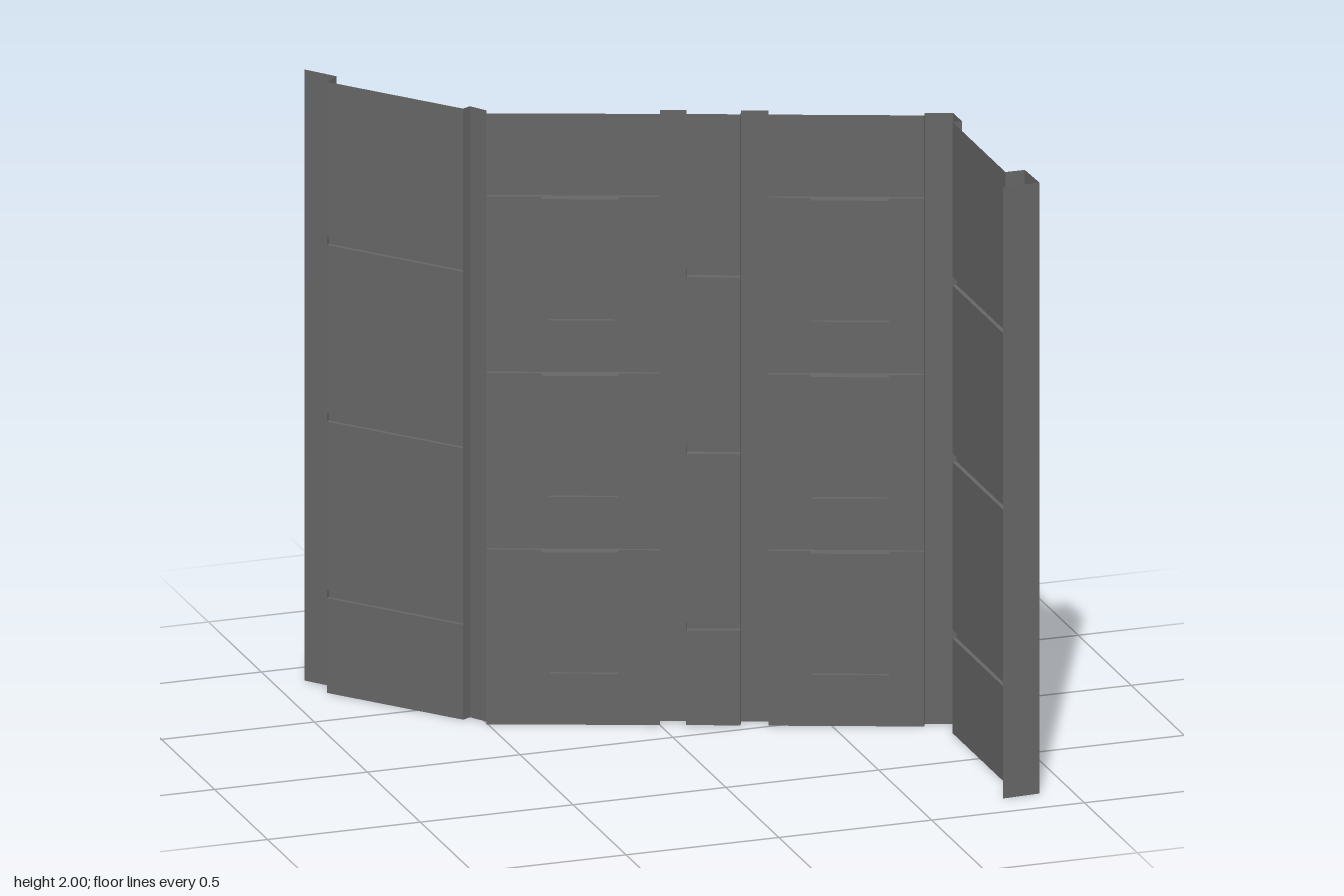
import * as THREE from 'three';

const H = 2, BAY = 0.578;
const grey = new THREE.MeshStandardMaterial({ color: 0x666666, side: THREE.DoubleSide });
grey.name = 'darkGrey';

function quadMesh(name, quads) {
  const pos = [];
  for (const [a, b, c, d] of quads) pos.push(...a, ...c, ...b, ...a, ...d, ...c);
  const geo = new THREE.BufferGeometry();
  geo.setAttribute('position', new THREE.Float32BufferAttribute(pos, 3));
  geo.computeVertexNormals();
  const mesh = new THREE.Mesh(geo, grey);
  mesh.name = name;
  return mesh;
}

// Upright folded sheet following plan points [x, z]
function foldedStrip(name, plan) {
  return quadMesh(name, plan.slice(1).map((q, i) => {
    const p = plan[i];
    return [[p[0], 0, p[1]], [q[0], 0, q[1]], [q[0], H, q[1]], [p[0], H, p[1]]];
  }));
}

// Wall sheet with stepped relief; cell(u, v) gives [part, depth towards the outside]
function reliefPanel(name, start, end, us, vs, cell) {
  const group = new THREE.Group();
  group.name = name;
  const len = Math.hypot(end[0] - start[0], end[1] - start[1]);
  const dx = (end[0] - start[0]) / len, dz = (end[1] - start[1]) / len;
  const at = (u, v, d) => [start[0] + dx * u + dz * d, v, start[1] + dz * u - dx * d];
  const U = [0, ...us, len], V = [0, ...vs, H], parts = {};
  const add = (part, ...quad) => (parts[part] ??= []).push(quad);
  const get = (i, j) => cell((U[i] + U[i + 1]) / 2, (V[j] + V[j + 1]) / 2);
  const owner = (a, b) => (a[0] === 'wall' ? b[0] : a[0]);
  for (let i = 0; i < U.length - 1; i++) {
    for (let j = 0; j < V.length - 1; j++) {
      const c = get(i, j), [u0, u1, v0, v1, d] = [U[i], U[i + 1], V[j], V[j + 1], c[1]];
      add(c[0], at(u0, v0, d), at(u1, v0, d), at(u1, v1, d), at(u0, v1, d));
      // Steps to the next cell sideways and upwards
      if (i < U.length - 2) {
        const r = get(i + 1, j), e = r[1];
        if (e !== d) add(owner(c, r), at(u1, v0, d), at(u1, v0, e), at(u1, v1, e), at(u1, v1, d));
      }
      if (j < V.length - 2) {
        const t = get(i, j + 1), e = t[1];
        if (e !== d) add(owner(c, t), at(u0, v1, d), at(u1, v1, d), at(u1, v1, e), at(u0, v1, e));
      }
    }
  }
  for (const part in parts) group.add(quadMesh(part, parts[part]));
  return group;
}

const bays = [0, 1, 2].map((k) => k * BAY);

// Plain wall with three raised ledges
function plainWall(name, start, end, depth) {
  const vs = bays.flatMap((y) => [0.31 + y, 0.338 + y]);
  return reliefPanel(name, start, end, [], vs, (u, v) =>
    bays.some((y) => v > 0.31 + y && v < 0.338 + y) ? ['ledge', depth] : ['wall', 0]);
}

// Wall with three recessed windows, each under a ledge and over a raised sill
function windowWall(name, start, end, w0, s0, w1) {
  const vs = bays.flatMap((y) => [0.167, 0.193, 0.572, 0.597].map((v) => v + y));
  return reliefPanel(name, start, end, [w0, s0, w1], vs, (u, v) => {
    for (const y of bays) {
      const h = v - y;
      if (h > 0.572 && h < 0.597) return ['ledge', 0.013];
      if (h > 0.193 && h < 0.572 && u > w0 && u < w1) return ['window', -0.024];
      if (h > 0.167 && h < 0.193 && u > s0 && u < w1) return ['sill', 0.013];
    }
    return ['wall', 0];
  });
}

export function createModel() {
  const model = new THREE.Group();
  model.name = 'facade';
  // Plan corners of the five walls
  const A0 = [-0.873, -0.747], A1 = [-0.558, -0.37];
  const B0 = [-0.504, -0.305], B1 = [0, -0.123];
  const C0 = [0.077, -0.096], C1 = [0.235, -0.038];
  const D0 = [0.315, -0.008], D1 = [0.768, 0.158];
  const E0 = [0.83, 0.247], E1 = [0.83, 0.745];
  model.add(
    plainWall('backWall', A0, A1, 0.013),
    windowWall('rightWindowWall', B0, B1, 0.17, 0.195, 0.408),
    plainWall('middleWall', C0, C1, 0.02),
    windowWall('leftWindowWall', D0, D1, 0.131, 0.137, 0.374),
    plainWall('sideWall', E0, E1, 0.013),
    // Pilasters stepping outwards between the walls and at both ends
    foldedStrip('backEndPilaster', [[-0.9, -0.88], [-0.828, -0.787], A0]),
    foldedStrip('backCornerPilaster', [A1, [-0.531, -0.385], [-0.495, -0.33], B0]),
    foldedStrip('rightPilaster', [B1, [0.013, -0.158], [0.09, -0.131], C0]),
    foldedStrip('leftPilaster', [C1, [0.248, -0.073], [0.328, -0.043], D0]),
    foldedStrip('frontCornerPilaster', [D1, [0.778, 0.135], [0.86, 0.165], [0.86, 0.247], E0]),
    foldedStrip('frontEndPilaster', [E1, [0.893, 0.745], [0.897, 0.872], [0.775, 0.88]]),
  );
  return model;
}
